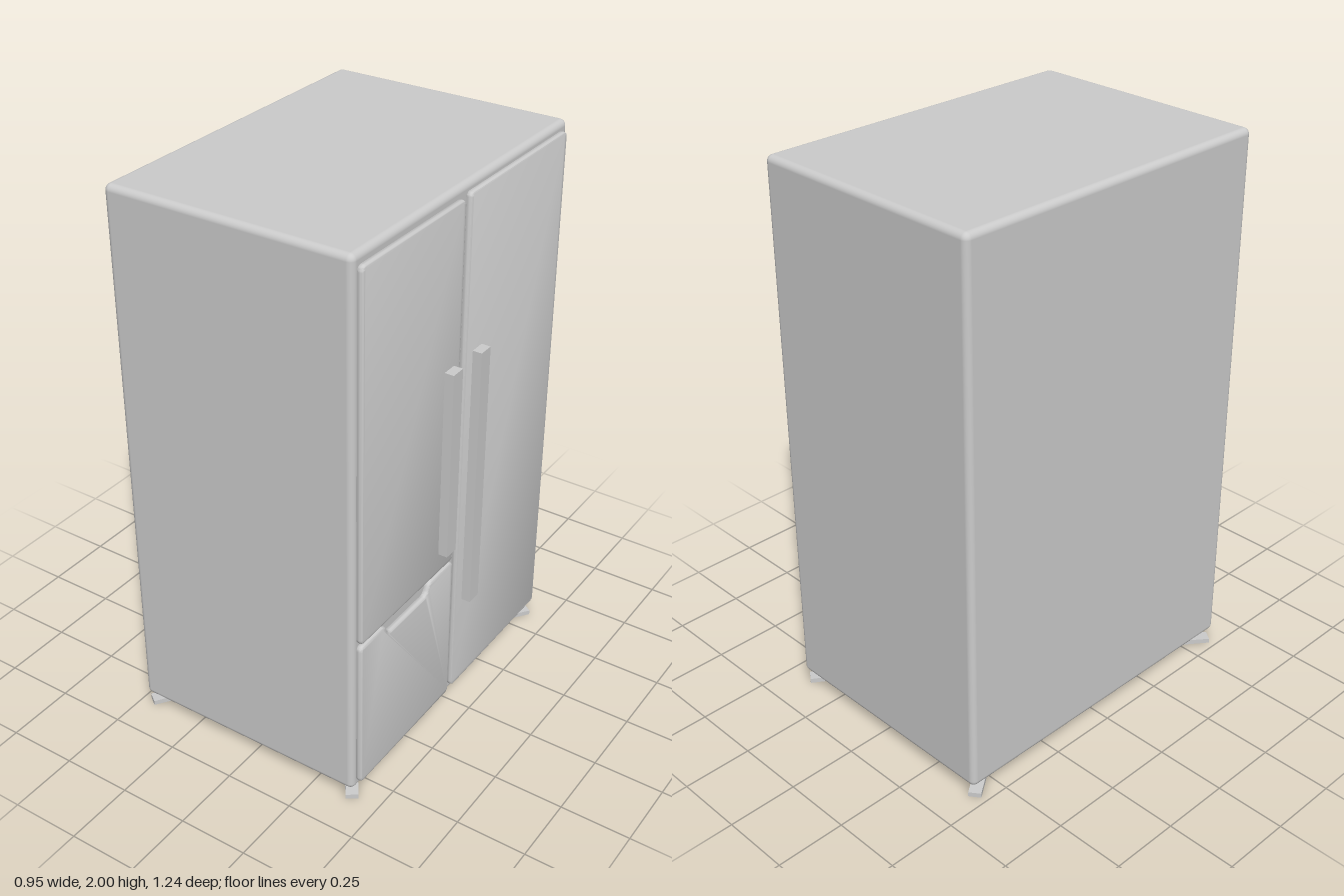
import * as THREE from 'three';
import { toCreasedNormals } from 'three/addons/utils/BufferGeometryUtils.js';
import { RoundedBoxGeometry } from 'three/addons/geometries/RoundedBoxGeometry.js';

const grey = new THREE.MeshStandardMaterial({ color: 0xcccccc });

function addMesh(parent, name, geometry, x = 0, y = 0, z = 0) {
  const mesh = new THREE.Mesh(geometry, grey);
  mesh.name = name;
  mesh.position.set(x, y, z);
  parent.add(mesh);
  return mesh;
}

// Rounded door outline; u runs along -z. The optional notch is a finger pull in the top edge.
function doorShape(u0, u1, y0, y1, notch) {
  const r = 0.02;
  const s = new THREE.Shape();
  s.moveTo(u0 + r, y0);
  s.lineTo(u1 - r, y0);
  s.quadraticCurveTo(u1, y0, u1, y0 + r);
  s.lineTo(u1, y1 - r);
  s.quadraticCurveTo(u1, y1, u1 - r, y1);
  if (notch) {
    const { from, to, depth, slope } = notch;
    const low = y1 - depth, mid = y1 - depth / 2;
    s.lineTo(to, y1);
    s.quadraticCurveTo(to - slope * 0.35, y1, to - slope / 2, mid);
    s.quadraticCurveTo(to - slope * 0.65, low, to - slope, low);
    s.lineTo(from + slope, low);
    s.quadraticCurveTo(from + slope * 0.65, low, from + slope / 2, mid);
    s.quadraticCurveTo(from + slope * 0.35, y1, from, y1);
  }
  s.lineTo(u0 + r, y1);
  s.quadraticCurveTo(u0, y1, u0, y1 - r);
  s.lineTo(u0, y0 + r);
  s.quadraticCurveTo(u0, y0, u0 + r, y0);
  return s;
}

function doorGeometry(shape) {
  const bevel = 0.009;
  const g = new THREE.ExtrudeGeometry(shape, {
    depth: 0.007, curveSegments: 6,
    bevelSize: bevel, bevelThickness: bevel, bevelOffset: -bevel, bevelSegments: 4,
  });
  g.translate(0, 0, bevel);
  g.rotateY(Math.PI / 2);
  return toCreasedNormals(g, 0.6);
}

export function createModel() {
  const model = new THREE.Group();
  model.name = 'refrigerator';

  // Cabinet
  addMesh(model, 'cabinet', new RoundedBoxGeometry(0.885, 1.95, 1.24, 4, 0.022), -0.0275, 1.025, 0);

  // Doors and drawer on the +x side
  const doorX = 0.41;
  addMesh(model, 'upperDoor', doorGeometry(doorShape(-0.598, -0.048, 0.66, 1.965)), doorX);
  addMesh(model, 'tallDoor', doorGeometry(doorShape(-0.02, 0.585, 0.083, 1.972)), doorX);
  const notch = { from: -0.475, to: -0.175, depth: 0.042, slope: 0.05 };
  addMesh(model, 'lowerDrawer', doorGeometry(doorShape(-0.598, -0.043, 0.08, 0.65, notch)), doorX);

  // Handles
  const handles = [['upperDoorHandle', 0.74, 0.117], ['tallDoorHandle', 0.445, -0.053]];
  for (const [name, bottom, z] of handles) {
    const h = 1.425 - bottom;
    addMesh(model, name, new THREE.BoxGeometry(0.04, h, 0.055), 0.448, bottom + h / 2, z);
  }

  // Crossed base: four tapered arms sloping down from the centre to the corners
  const base = new THREE.Group();
  base.name = 'crossBase';
  base.position.x = -0.0275;
  model.add(base);
  const width = 0.044, length = 0.743;
  const profile = new THREE.Shape([
    new THREE.Vector2(0, 0.014), new THREE.Vector2(length, 0),
    new THREE.Vector2(length, 0.017), new THREE.Vector2(0, 0.047),
  ]);
  const arm = new THREE.ExtrudeGeometry(profile, { depth: width, bevelEnabled: false });
  arm.translate(0, 0, -width / 2);
  const angle = Math.atan2(0.62, 0.4425);
  for (const a of [angle, -angle, Math.PI - angle, Math.PI + angle]) {
    addMesh(base, 'baseArm', arm).rotation.y = a;
  }
  // Hub joining the arms under the cabinet
  addMesh(base, 'baseHub', new THREE.BoxGeometry(0.044, 0.036, 0.044), 0, 0.034, 0);

  return model;
}
